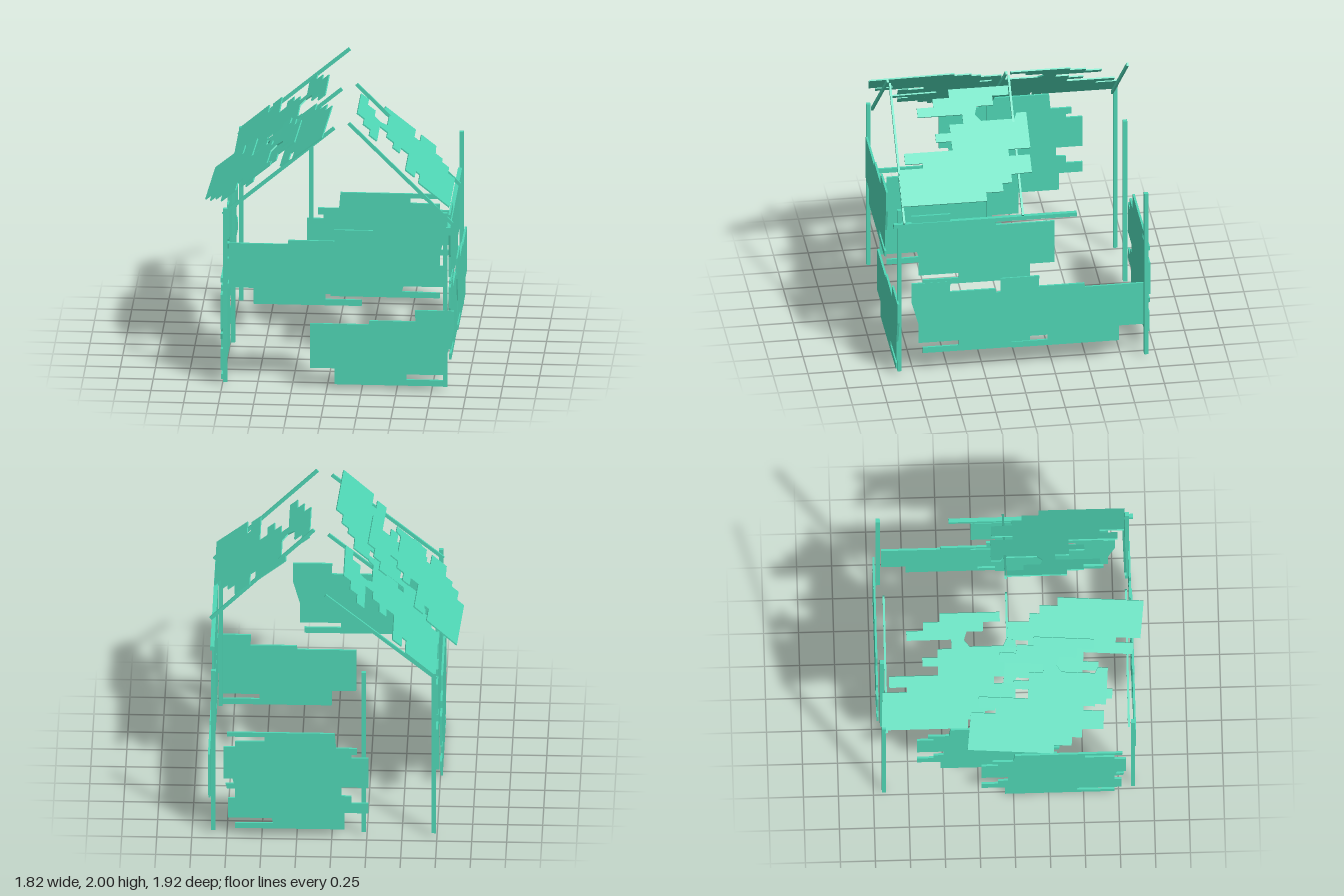
import * as THREE from 'three';

const material = new THREE.MeshStandardMaterial({ color: 0x4fd6b5, flatShading: true });

// Plank wall with a slanted end and one slit
const WALL_A = [
  [-0.12, 0.49], [0.30, 0.49], [0.305, 0.52], [0.635, 0.52], [0.63, 0.605], [0.91, 0.605],
  [0.91, 0.45], [0.86, 0.27], [0.86, 0.12], [0.57, 0.12], [0.57, 0.08], [0.83, 0.08],
  [0.83, 0.035], [0.055, 0.035], [0.055, 0.155], [-0.12, 0.155],
];

// Plank wall with both ends broken
const WALL_B = [
  [0.75, 0.85], [0.75, 0.815], [0.48, 0.815], [0.48, 0.78], [0.69, 0.775], [0.69, 0.73],
  [0.775, 0.73], [0.775, 0.47], [0.71, 0.47], [0.70, 0.43], [0.76, 0.43], [0.75, 0.39],
  [0.69, 0.39], [0.69, 0.31], [0.74, 0.31], [0.74, 0.15], [0.43, 0.15], [0.42, 0.11],
  [0.69, 0.105], [0.69, 0.065], [-0.09, 0.065], [-0.09, 0.20], [-0.26, 0.20], [-0.26, 0.28],
  [-0.14, 0.28], [-0.14, 0.335], [-0.07, 0.34], [-0.07, 0.41], [-0.26, 0.41], [-0.26, 0.65],
  [-0.14, 0.65], [-0.14, 0.68], [-0.18, 0.68], [-0.18, 0.73], [-0.03, 0.73], [-0.02, 0.85],
];

// Broken roof panel in plan (x, z)
const ROOF = [
  [0.19, -0.02], [0.245, -0.02], [0.245, 0.10], [0.30, 0.10], [0.30, 0.22], [0.35, 0.24],
  [0.39, 0.20], [0.39, -0.04], [0.355, -0.06], [0.355, -0.13], [0.57, -0.13], [0.57, 0.03],
  [0.61, 0.03], [0.61, -0.12], [0.715, -0.12], [0.72, 0.03], [0.77, 0.03], [0.77, 0.10],
  [0.82, 0.10], [0.82, 0.225], [0.87, 0.225], [0.87, 0.84], [0.65, 0.83], [0.65, 0.655],
  [0.62, 0.655], [0.62, 0.78], [0.555, 0.78], [0.555, 0.43], [0.50, 0.43], [0.50, 0.54],
  [0.45, 0.54], [0.45, 0.43], [0.40, 0.43], [0.40, 0.33], [0.345, 0.33], [0.345, 0.65],
  [0.29, 0.65], [0.29, 0.53], [0.24, 0.53], [0.24, 0.41], [0.19, 0.41],
];

// Flat sheet with an outline, centred on its thickness
function sheet(points, depth) {
  const shape = new THREE.Shape(points.map(([x, y]) => new THREE.Vector2(x, y)));
  const geometry = new THREE.ExtrudeGeometry(shape, { depth, bevelEnabled: false });
  return geometry.translate(0, 0, -depth / 2);
}

export function createModel() {
  const group = new THREE.Group();

  const add = (name, geometry, x, y, z) => {
    const mesh = new THREE.Mesh(geometry, material);
    mesh.name = name;
    mesh.position.set(x, y, z);
    group.add(mesh);
    return mesh;
  };

  // Posts
  const post = new THREE.BoxGeometry(0.03, 1.31, 0.03);
  const posts = [[-0.727, 0.855], [0.848, 0.855], [-0.727, -0.01], [-0.727, -0.925], [-0.227, -0.925], [0.848, -0.925]];
  for (const [x, z] of posts) add('post', post, x, 0.685, z);

  // Rafters
  const rafter = (name, x0, y0, x1, y1, z) => {
    const length = Math.hypot(x1 - x0, y1 - y0);
    const mesh = add(name, new THREE.BoxGeometry(length, 0.025, 0.015), (x0 + x1) / 2, (y0 + y1) / 2, z);
    mesh.rotation.z = Math.atan2(y1 - y0, x1 - x0);
  };
  for (const z of [0.825, -0.03, -0.905]) rafter('rightRafter', -0.745, 1.285, 0.05, 1.953, z);
  for (const z of [0.825, -0.03]) rafter('leftRafter', 0.155, 1.99, 0.893, 1.25, z);

  // Eave beam
  add('eaveBeam', new THREE.BoxGeometry(0.03, 0.03, 1.32), 0.87, 1.225, 0.24);

  // Walls across the front and back
  const wallA = sheet(WALL_A, 0.015);
  const wallB = sheet(WALL_B, 0.015);
  add('frontWallLower', wallA, 0, 0, 0.87);
  add('frontWallUpper', wallA, -0.58, 0.595, 0.87);
  add('backWall', wallB, 0, 0, -0.958);

  // Walls along the sides, with the outline running along z
  const sideWall = (name, geometry, x, y, z) => {
    add(name, geometry, x, y, z).rotation.y = -Math.PI / 2;
  };
  sideWall('leftWallRear', wallA, 0.88, 0.14, -0.78);
  sideWall('leftWallUpper', wallA, 0.87, 0.69, -0.14);
  sideWall('leftWallLower', wallA, 0.872, 0.14, -0.14);
  sideWall('rightWallLower', wallB, -0.758, -0.065, 0.03);
  sideWall('rightWallUpper', wallB, -0.742, 0.46, -0.43);

  // Roof panels: one outline, twisted in its plane and then pitched
  const roof = sheet(ROOF.map(([x, z]) => [(x - 0.53) / 0.775, 0.355 - z]), 0.01).rotateX(-Math.PI / 2);
  const roofPanel = (name, x, y, z, twist, pitch) => {
    add(name, roof, x, y, z).rotation.set(0, twist, pitch, 'ZYX');
  };
  roofPanel('leftRoof', 0.53, 1.65, 0.355, 0, -Math.atan(0.794));
  roofPanel('rightRoofRear', -0.405, 1.606, -0.455, Math.PI, Math.atan(0.85));
  roofPanel('rightRoofEave', -0.563, 1.492, 0.184, Math.PI - 0.07, Math.atan(0.84));
  roofPanel('rightRoofRidge', -0.337, 1.665, 0.436, -0.07, Math.atan(0.83));

  return group;
}
